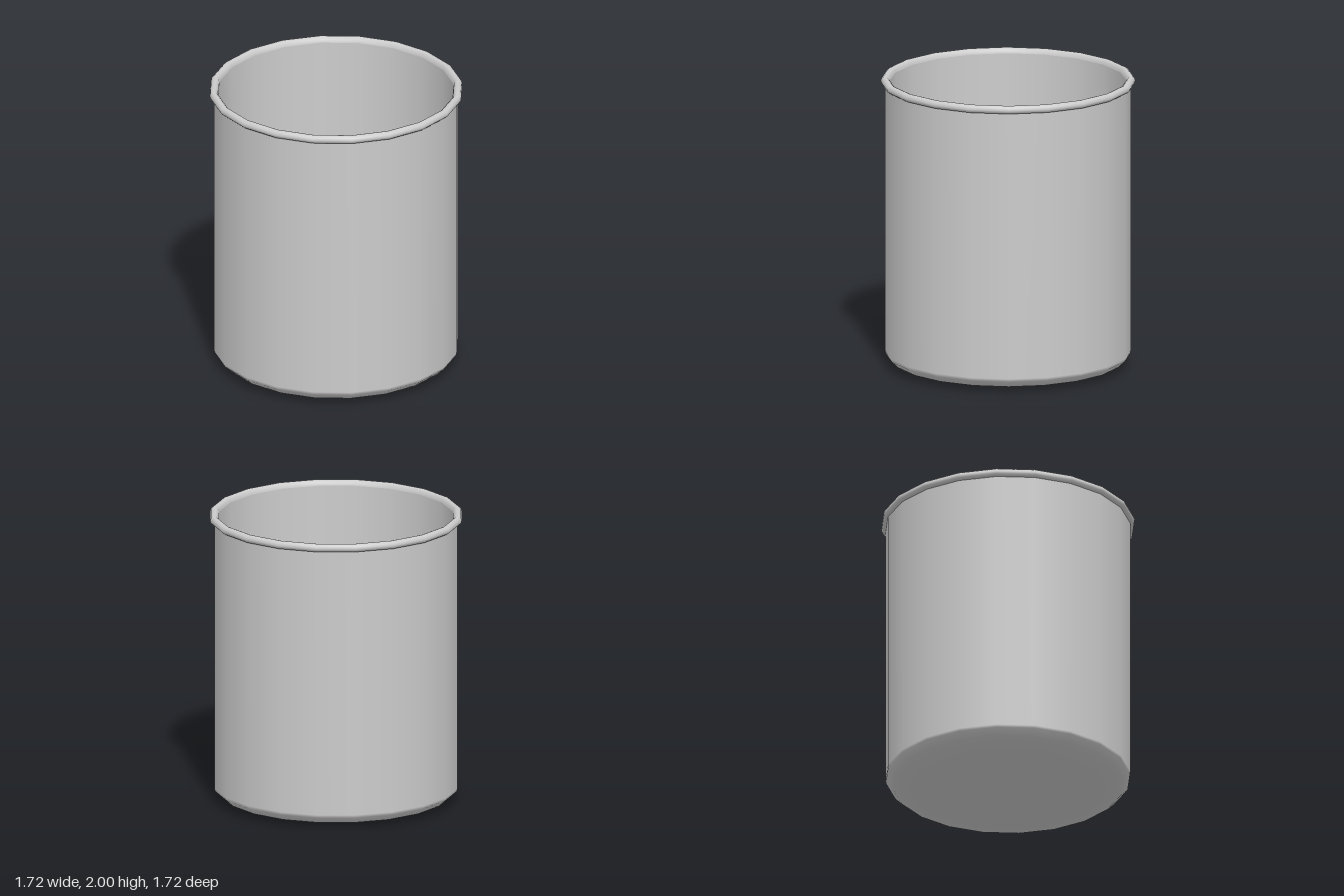
import * as THREE from 'three';

const SIDES = 20;
const material = new THREE.MeshStandardMaterial({ color: 0xcccccc });

// Revolve a [radius, height] profile; each part is smooth, seams between parts stay sharp
function turned(name, profile) {
  const points = profile.map(([r, y]) => new THREE.Vector2(r, y));
  const mesh = new THREE.Mesh(new THREE.LatheGeometry(points, SIDES), material);
  mesh.name = name;
  return mesh;
}

export function createModel() {
  const cup = new THREE.Group();
  cup.name = 'cup';

  // Outside: flat base, rounded bottom edge, straight wall
  cup.add(turned('outerWall', [
    [0, 0], [0.62, 0], [0.66, 0.004], [0.78, 0.035], [0.828, 0.08], [0.83, 0.1], [0.83, 1.95],
  ]));

  // Rolled bead around the mouth
  cup.add(turned('rim', [
    [0.825, 1.945], [0.845, 1.947], [0.857, 1.958], [0.86, 1.972], [0.855, 1.988],
    [0.842, 1.998], [0.83, 2], [0.818, 1.997], [0.805, 1.985], [0.8, 1.965],
  ]));

  // Inside: slightly tapering wall and flat floor
  cup.add(turned('innerWall', [[0.8, 1.965], [0.77, 0.06]]));
  cup.add(turned('floor', [[0.77, 0.06], [0, 0.06]]));

  return cup;
}
